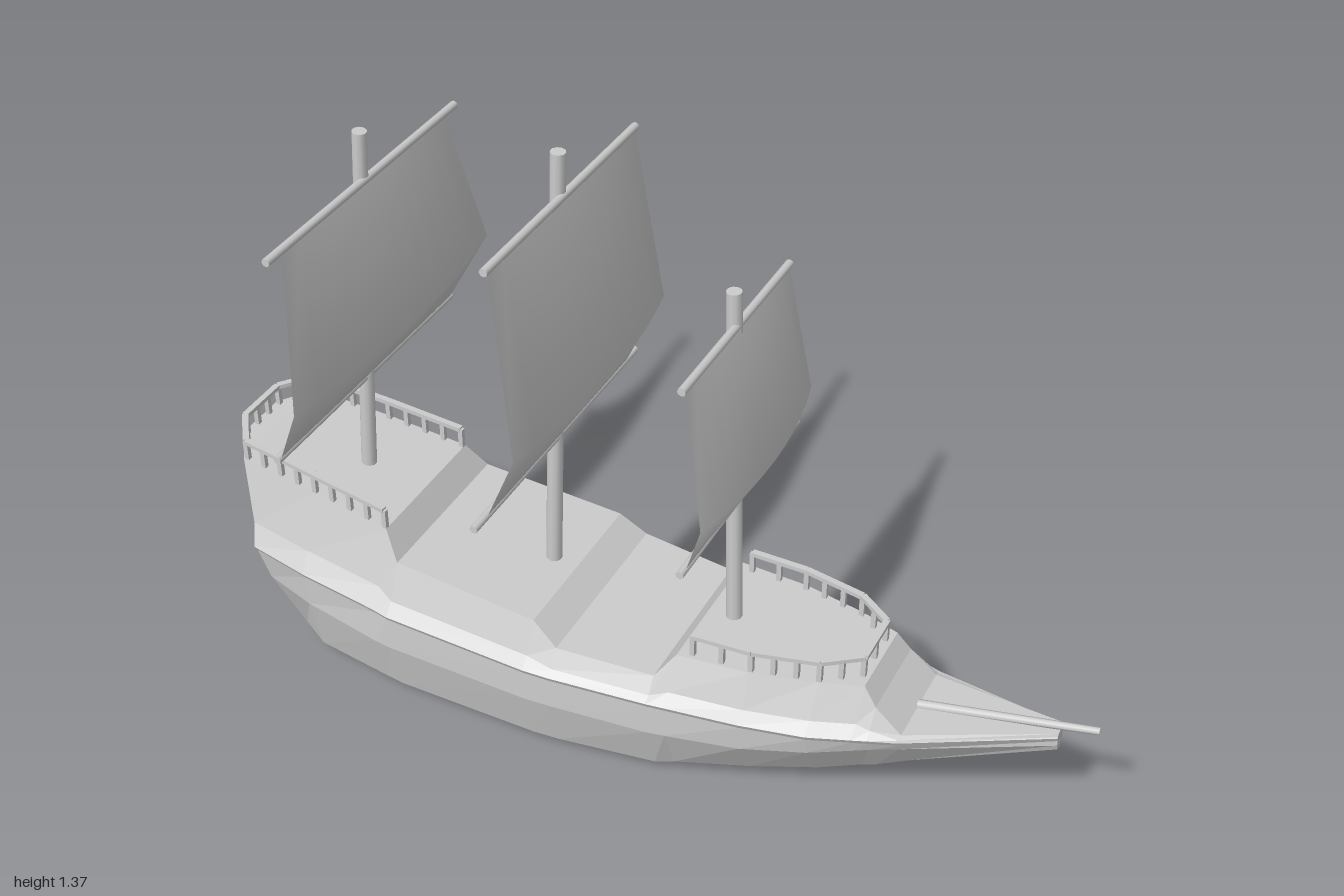
import * as THREE from 'three';

const grey = (opts = {}) => new THREE.MeshStandardMaterial({ color: 0xcccccc, ...opts });
const V = (x, y, z) => new THREE.Vector3(x, y, z);

// Round bar between two points
function bar(name, a, b, r0, r1 = r0, sides = 8) {
  const dir = b.clone().sub(a);
  const mesh = new THREE.Mesh(new THREE.CylinderGeometry(r1, r0, dir.length(), sides), grey());
  mesh.name = name;
  mesh.position.copy(a).add(b).multiplyScalar(0.5);
  mesh.quaternion.setFromUnitVectors(V(0, 1, 0), dir.normalize());
  return mesh;
}

// Hull and decks lofted through cross-sections
function makeHull() {
  // x, keelY, bilgeZ, midY, midZ, waleY, waleZ, deckY, deckZ
  const stations = [
    [-0.86, 0, 0.15, 0.20, 0.200, 0.290, 0.215, 0.475, 0.145],
    [-0.75, 0, 0.19, 0.185, 0.225, 0.278, 0.235, 0.455, 0.158],
    [-0.56, 0, 0.215, 0.17, 0.250, 0.263, 0.250, 0.430, 0.168],
    [-0.52, 0, 0.22, 0.168, 0.253, 0.260, 0.256, 0.370, 0.195],
    [-0.18, 0, 0.22, 0.16, 0.252, 0.246, 0.256, 0.345, 0.200],
    [-0.12, 0, 0.215, 0.16, 0.248, 0.245, 0.252, 0.300, 0.212],
    [0.10, 0.005, 0.185, 0.16, 0.225, 0.247, 0.230, 0.295, 0.190],
    [0.14, 0.01, 0.17, 0.163, 0.220, 0.248, 0.225, 0.350, 0.165],
    [0.30, 0.03, 0.125, 0.175, 0.195, 0.252, 0.205, 0.356, 0.152],
    [0.44, 0.06, 0.09, 0.20, 0.165, 0.258, 0.180, 0.362, 0.120],
    [0.53, 0.09, 0.065, 0.22, 0.135, 0.263, 0.150, 0.365, 0.090],
    [0.56, 0.10, 0.06, 0.227, 0.125, 0.265, 0.140, 0.325, 0.098],
    [0.62, 0.13, 0.045, 0.238, 0.105, 0.268, 0.120, 0.274, 0.100],
    [0.92, 0.285, 0.010, 0.305, 0.016, 0.330, 0.022, 0.340, 0.018],
  ];
  const ring = ([x, ky, bz, my, mz, wy, wz, dy, dz]) => {
    const half = [
      [ky, 0], [ky, bz * 0.5], [ky + (my - ky) * 0.2, bz], [my, mz], [wy - 0.012, wz - 0.006],
      [wy, wz], [wy + (dy - wy) * 0.25, wz + (dz - wz) * 0.4], [dy, dz], [dy, 0],
    ];
    const mirror = half.slice(1, -1).reverse().map(([y, z]) => [y, -z]);
    return half.concat(mirror).map(([y, z]) => V(x, y, z));
  };
  const rings = stations.map(ring);
  // Raked stern corner, then the bowed-out transom
  rings[0].forEach((p) => { p.x = -0.81 - 0.28 * p.y; });
  rings.unshift(rings[0].map((p) => V(-0.86 - 0.294 * p.y, p.y, p.z * 0.45)));

  const pos = [];
  const tri = (...pts) => pts.forEach((p) => pos.push(p.x, p.y, p.z));
  const n = rings[0].length;
  for (let i = 0; i < rings.length - 1; i++) {
    for (let j = 0; j < n; j++) {
      const k = (j + 1) % n;
      const a = rings[i][j], b = rings[i + 1][j], c = rings[i + 1][k], d = rings[i][k];
      tri(a, b, c);
      tri(a, c, d);
    }
  }
  // End caps
  const cap = (r, flip) => {
    const mid = r.reduce((s, p) => s.add(p), V(0, 0, 0)).divideScalar(n);
    r.forEach((p, j) => {
      const q = r[(j + 1) % n];
      if (flip) tri(mid, q, p); else tri(mid, p, q);
    });
  };
  cap(rings[0], false);
  cap(rings[rings.length - 1], true);

  const geo = new THREE.BufferGeometry();
  geo.setAttribute('position', new THREE.Float32BufferAttribute(pos, 3));
  geo.computeVertexNormals();
  const mesh = new THREE.Mesh(geo, grey({ flatShading: true }));
  mesh.name = 'hull';
  return mesh;
}

// Square sail bellied forward; rows are [x, y, halfWidth] from top to bottom
function makeSail(rows) {
  const cols = 10;
  const geo = new THREE.PlaneGeometry(1, 1, cols, rows.length - 1);
  const p = geo.attributes.position;
  rows.forEach(([x, y, w], r) => {
    const belly = r === 0 || r === rows.length - 1 ? 0 : 0.035;
    for (let c = 0; c <= cols; c++) {
      const t = 1 - (2 * c) / cols;
      p.setXYZ(r * (cols + 1) + c, x - belly * t * t, y, w * t);
    }
  });
  geo.computeVertexNormals();
  const mesh = new THREE.Mesh(geo, grey({ side: THREE.DoubleSide }));
  mesh.name = 'sail';
  return mesh;
}

// Mast with its sail and two yards
function makeMast({ name, foot, top, sail, upperYard, lowerYard }) {
  const g = new THREE.Group();
  g.name = name;
  g.add(bar('mast', V(foot[0], foot[1], 0), V(top[0], top[1], 0), 0.018, 0.016, 10));
  g.add(makeSail(sail));
  const yard = (label, [x, y], w) => bar(label, V(x - 0.004, y, -w), V(x - 0.004, y, w), 0.009);
  g.add(yard('upperYard', sail[0], upperYard));
  g.add(yard('lowerYard', sail[sail.length - 1], lowerYard));
  return g;
}

// Railing along a path of [x, deckY, z] points
function makeRail(name, path, height, spacing) {
  const g = new THREE.Group();
  g.name = name;
  const box = (label, a, b, w, h) => {
    const len = a.distanceTo(b);
    const m = new THREE.Mesh(new THREE.BoxGeometry(w, h, len), grey());
    m.name = label;
    m.position.copy(a).add(b).multiplyScalar(0.5);
    m.lookAt(b);
    g.add(m);
  };
  const pts = path.map((p) => V(...p));
  const up = V(0, height, 0);
  for (let i = 0; i < pts.length - 1; i++) {
    const a = pts[i], b = pts[i + 1];
    box('handrail', a.clone().add(up), b.clone().add(up), 0.014, 0.01);
    const count = Math.max(1, Math.round(a.distanceTo(b) / spacing));
    for (let k = 0; k < count + (i === pts.length - 2 ? 1 : 0); k++) {
      const p = a.clone().lerp(b, k / count);
      const post = new THREE.Mesh(new THREE.BoxGeometry(0.011, height, 0.011), grey());
      post.name = 'railPost';
      post.position.copy(p).addScaledVector(up, 0.5);
      g.add(post);
    }
  }
  return g;
}

export function createModel() {
  const ship = new THREE.Group();
  ship.name = 'sailingShip';
  ship.add(makeHull());

  // Masts from stern to bow
  [
    {
      name: 'aftMast', foot: [-0.71, 0.43], top: [-0.652, 1.30], upperYard: 0.35, lowerYard: 0.345,
      sail: [[-0.645, 1.19, 0.30], [-0.568, 0.86, 0.38], [-0.685, 0.695, 0.335]],
    },
    {
      name: 'mainMast', foot: [-0.24, 0.33], top: [-0.199, 1.37], upperYard: 0.305, lowerYard: 0.35,
      sail: [[-0.187, 1.275, 0.295], [-0.10, 0.87, 0.325], [-0.215, 0.69, 0.30]],
    },
    {
      name: 'foreMast', foot: [0.196, 0.34], top: [0.175, 1.165], upperYard: 0.245, lowerYard: 0.28,
      sail: [[0.188, 1.09, 0.235], [0.272, 0.79, 0.265], [0.205, 0.68, 0.26]],
    },
  ].forEach((spec) => ship.add(makeMast(spec)));

  // Railings: one side, mirrored to the other
  const mirrored = (half) => half.concat(half.slice().reverse().map(([x, y, z]) => [x, y, -z]));
  ship.add(makeRail('sternRail',
    mirrored([[-0.565, 0.43, 0.162], [-0.75, 0.453, 0.152], [-0.935, 0.473, 0.139], [-0.99, 0.475, 0.063]]), 0.048, 0.05));
  ship.add(makeRail('forecastleRail',
    mirrored([[0.17, 0.35, 0.148], [0.30, 0.354, 0.143], [0.44, 0.36, 0.113], [0.515, 0.362, 0.06]]), 0.052, 0.055));

  // Bowsprit
  ship.add(bar('bowsprit', V(0.62, 0.275, 0), V(0.998, 0.366, 0), 0.011, 0.008));
  return ship;
}
